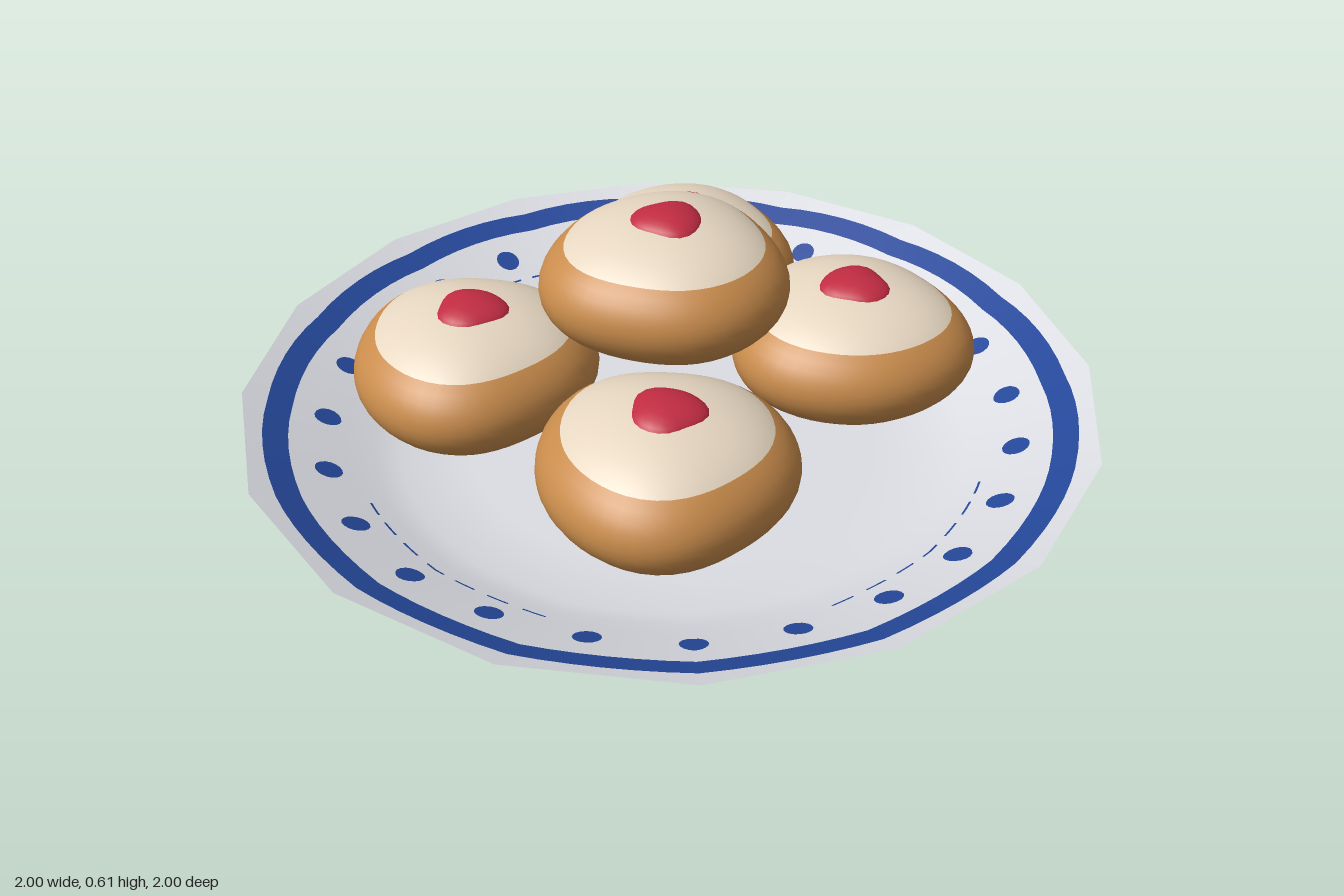
import * as THREE from 'three';
import { mergeVertices } from 'three/addons/utils/BufferGeometryUtils.js';

const mat = (name, color, side = THREE.FrontSide) => {
  const m = new THREE.MeshStandardMaterial({ color, side });
  m.name = name;
  return m;
};

// Plate: flat floor, then a sixteen-sided sloping rim
const FLOOR = 0.64, SLOPE = 0.155 / (1 - FLOOR), STEP = Math.PI / 8;
const facet = (a) => {
  const d = a - Math.round((a - STEP / 2) / STEP) * STEP - STEP / 2;
  return Math.cos(d) / Math.cos(STEP / 2);
};
const plateHeight = (r, a) => Math.max(0, (r * facet(a) - FLOOR) * SLOPE);
const tilt = (r) => SLOPE * THREE.MathUtils.smoothstep(r, 0.55, 0.74);

// Grid of points laid on the plate; at(u, v) gives [radius, angle]
function onPlate(nu, nv, at, lift = 0) {
  const pos = [], nor = [], idx = [];
  for (let i = 0; i <= nu; i++) for (let j = 0; j <= nv; j++) {
    const [r, a] = at(i / nu, j / nv);
    pos.push(r * Math.cos(a), plateHeight(r, a) + lift, r * Math.sin(a));
    const n = new THREE.Vector3(-tilt(r) * Math.cos(a), 1, -tilt(r) * Math.sin(a)).normalize();
    nor.push(n.x, n.y, n.z);
    if (i < nu && j < nv) {
      const p = i * (nv + 1) + j, q = p + nv + 1;
      idx.push(p, p + 1, q, q, p + 1, q + 1);
    }
  }
  const g = new THREE.BufferGeometry();
  g.setAttribute('position', new THREE.Float32BufferAttribute(pos, 3));
  g.setAttribute('normal', new THREE.Float32BufferAttribute(nor, 3));
  g.setIndex(idx);
  return g;
}
const band = (r0, r1, a0 = 0, a1 = Math.PI * 2, n = 96, lift = 0) =>
  onPlate(n, r1 - r0 > 0.05 ? 4 : 1, (u, v) => [r0 + (r1 - r0) * v, a0 + (a1 - a0) * u], lift);

// Squashed ball with a softly three-cornered outline
function softBlob(rx, ry, phase, lobe, rows, segs, split) {
  let g = new THREE.SphereGeometry(1, segs, rows);
  const p = g.attributes.position;
  for (let i = 0; i < p.count; i++) {
    const a = Math.atan2(p.getZ(i), p.getX(i));
    const k = rx * (1 + lobe * Math.cos(3 * (a - phase)) + lobe * 0.25 * Math.cos(5 * a + phase));
    p.setXYZ(i, p.getX(i) * k, p.getY(i) * ry, p.getZ(i) * k);
  }
  g.deleteAttribute('uv');
  g.deleteAttribute('normal');
  g = mergeVertices(g, 1e-5);
  g.computeVertexNormals();
  if (split) {
    const cut = segs * 3 + (split - 1) * segs * 6;
    g.addGroup(0, cut, 0);
    g.addGroup(cut, g.index.count - cut, 1);
  }
  return g;
}

export function createModel() {
  const model = new THREE.Group();
  const china = mat('white china', 0xdcdee4, THREE.DoubleSide);
  const blue = mat('blue glaze', 0x25489a, THREE.DoubleSide);
  const dough = mat('golden dough', 0xc98c4c);
  const icing = mat('cream icing', 0xecdcc6);
  const jam = mat('red jam', 0xc22c42);
  const add = (parent, name, geometry, material) => {
    const m = new THREE.Mesh(geometry, material);
    m.name = name;
    parent.add(m);
    return m;
  };

  const plate = new THREE.Group();
  plate.name = 'plate';
  model.add(plate);
  add(plate, 'plateFloor', band(0, FLOOR / Math.cos(STEP / 2) - 0.012), china);
  add(plate, 'plateSlope', band(FLOOR / Math.cos(STEP / 2) - 0.012, 0.89), china);
  add(plate, 'blueRing', band(0.89, 0.945), blue);
  add(plate, 'plateEdge', onPlate(96, 2, (u, v) => {
    const a = u * Math.PI * 2;
    return [0.945 + (1 / facet(a) - 0.945) * v, a];
  }), china);

  // Painted dots and fine dashes, on both faces of the plate
  for (const lift of [0.003, -0.003]) {
    for (let i = 0; i < 24; i++) {
      const cx = 0.81 * Math.cos(i * Math.PI / 12), cz = 0.81 * Math.sin(i * Math.PI / 12);
      add(plate, 'blueDot', onPlate(16, 2, (u, v) => {
        const x = cx + 0.03 * v * Math.cos(u * Math.PI * 2);
        const z = cz + 0.03 * v * Math.sin(u * Math.PI * 2);
        return [Math.hypot(x, z), Math.atan2(z, x)];
      }, lift), blue);
    }
    for (let q = 0; q < 4; q++) for (let k = -3; k <= 3; k++) {
      const a = q * Math.PI / 2 + k * 0.115;
      add(plate, 'blueDash', band(0.741, 0.746, a - 0.035, a + 0.035, 4, lift), blue);
    }
  }

  // Buns: x, centre height, z, direction of one corner in degrees
  const buns = [
    [-0.335, 0.232, -0.31, 35],
    [0.34, 0.232, -0.265, 80],
    [-0.335, 0.232, 0.285, 30],
    [0.325, 0.232, 0.275, 70],
    [-0.005, 0.435, -0.01, 90],
  ];
  for (const [x, y, z, deg] of buns) {
    const bun = new THREE.Group();
    bun.name = 'bun';
    bun.position.set(x, y, z);
    model.add(bun);
    const phase = deg * Math.PI / 180;
    add(bun, 'bunBody', softBlob(0.282, 0.156, phase, 0.035, 24, 48, 7), [icing, dough]);
    add(bun, 'jamBlob', softBlob(0.085, 0.036, phase + 0.3, 0.07, 12, 24), jam)
      .position.set(0, 0.137, 0.005);
  }
  return model;
}
